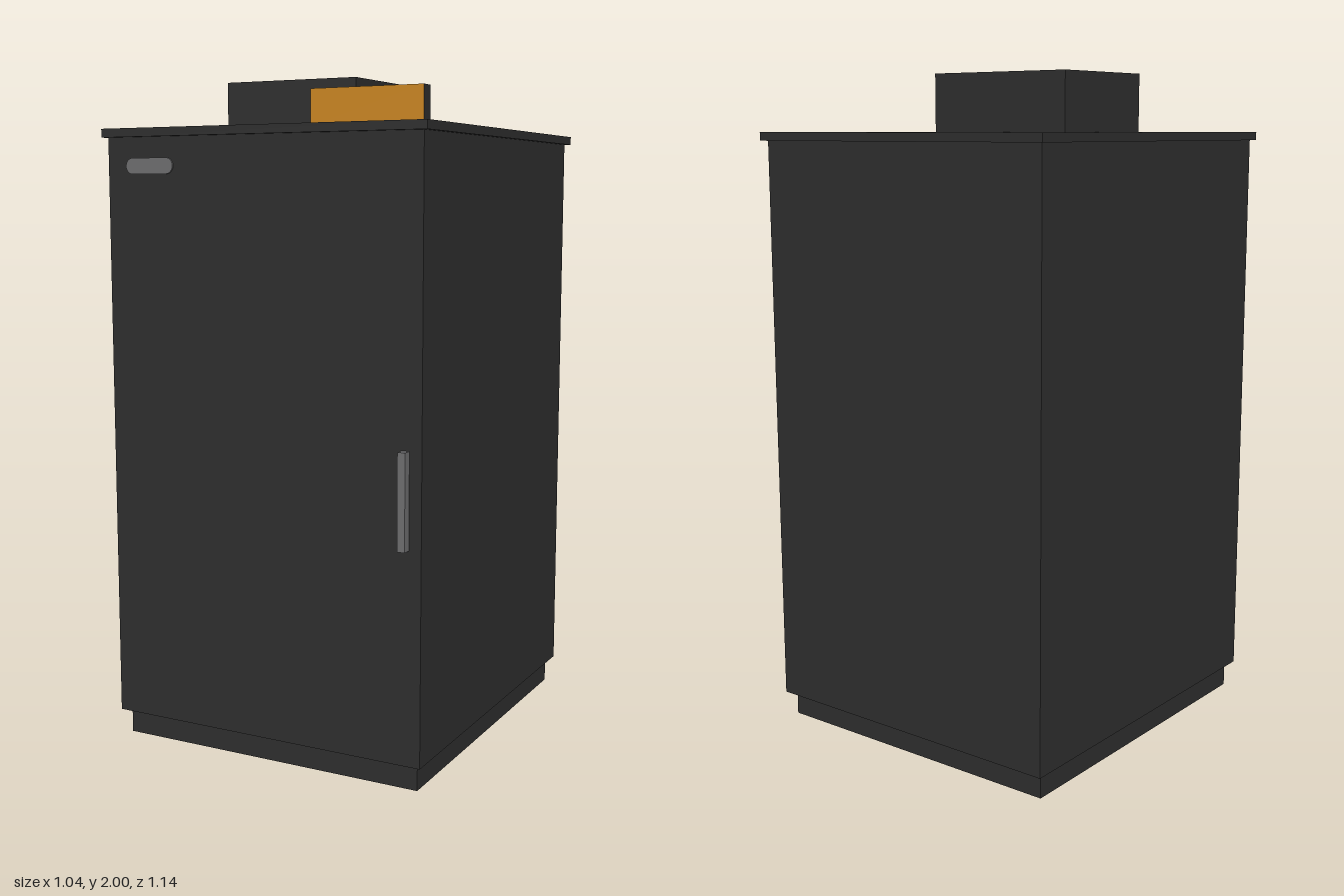
import * as THREE from 'three';

export function createModel() {
  const model = new THREE.Group();
  const mat = (name, color) => {
    const m = new THREE.MeshStandardMaterial({ color, side: THREE.DoubleSide });
    m.name = name;
    return m;
  };
  const charcoal = mat('charcoal', 0x2e2e2e);
  const grey = mat('grey', 0x6d6d6f);
  const amber = mat('amber', 0xc98520);

  const add = (name, geometry, material) => {
    const mesh = new THREE.Mesh(geometry, material);
    mesh.name = name;
    model.add(mesh);
    return mesh;
  };
  // Box given by its limits on each axis
  const box = (name, [x0, x1], [y0, y1], [z0, z1], material) => {
    const g = new THREE.BoxGeometry(x1 - x0, y1 - y0, z1 - z0);
    g.translate((x0 + x1) / 2, (y0 + y1) / 2, (z0 + z1) / 2);
    return add(name, g, material);
  };
  // Four thin walls: a box without its top and bottom faces
  const walls = (name, x, y, z, material) => {
    const mesh = box(name, x, y, z, material);
    const index = Array.from(mesh.geometry.index.array);
    mesh.geometry.setIndex([...index.slice(0, 12), ...index.slice(24)]);
    mesh.geometry.clearGroups();
    return mesh;
  };

  // Hollow plinth and cabinet, open underneath
  walls('plinth', [-0.485, 0.485], [0, 0.077], [-0.525, 0.517], charcoal);
  walls('cabinet', [-0.505, 0.505], [0.077, 1.81], [-0.555, 0.545], charcoal);

  // Ledge joining the cabinet to the plinth
  const rect = (path, w, z0, z1) =>
    path.moveTo(-w, z0).lineTo(w, z0).lineTo(w, z1).lineTo(-w, z1).closePath();
  const ledge = rect(new THREE.Shape(), 0.505, -0.555, 0.545);
  ledge.holes.push(rect(new THREE.Path(), 0.485, -0.525, 0.517));
  const ledgeGeo = new THREE.ShapeGeometry(ledge);
  ledgeGeo.rotateX(Math.PI / 2).translate(0, 0.077, 0);
  add('cabinetLedge', ledgeGeo, charcoal);

  // Top slab with the box and the upright sign standing on it
  box('topSlab', [-0.52, 0.52], [1.81, 1.835], [-0.573, 0.558], charcoal);
  box('topBox', [-0.415, 0.043], [1.835, 2], [-0.33, 0.037], charcoal);
  const sign = box('sign', [0.08, 0.43], [1.835, 1.94], [0.342, 0.385], charcoal);
  sign.material = [charcoal, charcoal, charcoal, charcoal, amber, charcoal];

  // Door handle
  box('doorHandle', [0.445, 0.468], [0.69, 0.963], [0.545, 0.572], grey);

  // Small rounded badge plate
  const badge = new THREE.Shape();
  badge.absarc(-0.302, 1.727, 0.023, -Math.PI / 2, Math.PI / 2);
  badge.absarc(-0.417, 1.727, 0.023, Math.PI / 2, Math.PI * 1.5);
  badge.closePath();
  const badgeGeo = new THREE.ExtrudeGeometry(badge, { depth: 0.005, bevelEnabled: false, curveSegments: 8 });
  badgeGeo.translate(0, 0, 0.545);
  add('badgePlate', badgeGeo, grey);

  return model;
}
